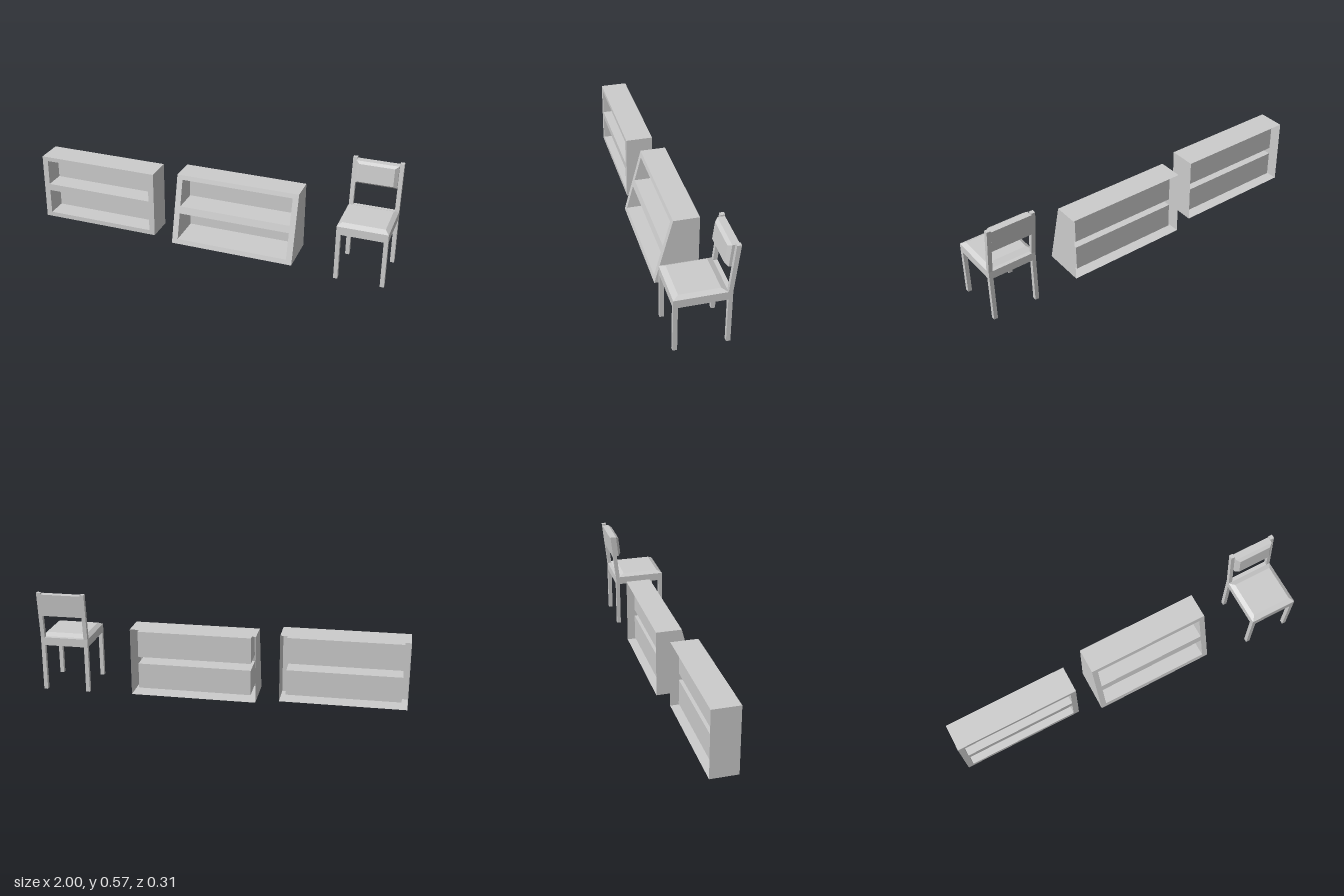
import * as THREE from 'three';
import { mergeGeometries } from 'three/addons/utils/BufferGeometryUtils.js';

const material = new THREE.MeshStandardMaterial({ color: 0xcccccc, flatShading: true, side: THREE.DoubleSide });

function add(group, name, geometry) {
  const mesh = new THREE.Mesh(geometry, material);
  mesh.name = name;
  group.add(mesh);
}

// Joins four-cornered rings into a faceted skin; each ring runs anticlockwise seen from the last ring's side.
function loft(rings, capStart, capEnd) {
  const index = [];
  const last = (rings.length - 1) * 4;
  for (let r = 0; r < last; r += 4) {
    for (let i = 0; i < 4; i++) {
      const a = r + i, b = r + (i + 1) % 4;
      index.push(a, b, b + 4, a, b + 4, a + 4);
    }
  }
  if (capStart) index.push(0, 2, 1, 0, 3, 2);
  if (capEnd) index.push(last, last + 1, last + 2, last, last + 2, last + 3);
  const g = new THREE.BufferGeometry();
  g.setAttribute('position', new THREE.Float32BufferAttribute(rings.flat(2), 3));
  g.setIndex(index);
  const flat = g.toNonIndexed();
  flat.computeVertexNormals();
  return flat;
}

// Side profile of [z, y] points, extruded across x.
function slab(points, x0, x1) {
  const shape = new THREE.Shape(points.map(([z, y]) => new THREE.Vector2(z, y)));
  const g = new THREE.ExtrudeGeometry(shape, { depth: x1 - x0, bevelEnabled: false });
  return g.rotateY(-Math.PI / 2).translate(x1, 0, 0);
}

function rectangle(PathType, x0, x1, y0, y1) {
  return new PathType([[x0, y0], [x1, y0], [x1, y1], [x0, y1]].map(([x, y]) => new THREE.Vector2(x, y)));
}

// Bookcase: thin shell open at the back, with two recessed compartments.
function bookcase(name, x0, x1, back, frontBottom, frontTop) {
  const group = new THREE.Group();
  group.name = name;
  const height = 0.376, margin = 0.032;
  const frontZ = y => frontBottom + (frontTop - frontBottom) * y / height;
  const ring = (l, r, b, t, z) => [[l, b, z(b)], [r, b, z(b)], [r, t, z(t)], [l, t, z(t)]];
  const backZ = () => back;
  const panelZ = () => back + 0.038;
  add(group, 'outerShell', loft([ring(x0, x1, 0, height, backZ), ring(x0, x1, 0, height, frontZ)], false, false));

  const face = rectangle(THREE.Shape, x0, x1, 0, height);
  const compartments = [];
  for (const [y0, y1] of [[0.026, 0.168], [0.207, 0.352]]) {
    const l = x0 + margin, r = x1 - margin;
    face.holes.push(rectangle(THREE.Path, l, r, y0, y1));
    compartments.push(loft([ring(l, r, y0, y1, frontZ), ring(l, r, y0, y1, panelZ)], false, true));
  }
  add(group, 'compartments', mergeGeometries(compartments));

  // Front frame leans with the case
  const frame = new THREE.ShapeGeometry(face);
  const p = frame.attributes.position;
  for (let i = 0; i < p.count; i++) p.setZ(i, frontZ(p.getY(i)));
  frame.computeVertexNormals();
  add(group, 'frontFrame', frame);
  return group;
}

function chair() {
  const group = new THREE.Group();
  group.name = 'chair';
  const x0 = 0.734, x1 = 1, leg = 0.022;
  add(group, 'seatBase', slab([[0.158, 0.26], [0.158, 0.305], [-0.129, 0.305], [-0.129, 0.26]], x0, x1));

  // Bevelled seat top
  const seatRing = (inset, front, back, y) =>
    [[x0 + inset, y, front], [x1 - inset, y, front], [x1 - inset, y, back], [x0 + inset, y, back]];
  add(group, 'seatTop', loft([seatRing(0, 0.158, -0.107, 0.305), seatRing(0.022, 0.13, -0.077, 0.32)], false, true));

  // Legs; the rear pair carries on up as leaning posts
  for (const [side, a] of [['right', x0], ['left', x1 - leg]]) {
    add(group, side + 'FrontLeg', slab([[0.158, 0], [0.158, 0.26], [0.135, 0.26], [0.135, 0]], a, a + leg));
    add(group, side + 'BackLegAndPost', slab(
      [[-0.107, 0], [-0.107, 0.305], [-0.134, 0.566], [-0.157, 0.566], [-0.129, 0.305], [-0.129, 0]], a, a + leg));
  }

  // Backrest between the posts, bevelled toward the sitter
  const restRing = (inset, y0, z0, y1, z1) => {
    const l = x0 + leg + inset, r = x1 - leg - inset;
    return [[l, y0, z0], [r, y0, z0], [r, y1, z1], [l, y1, z1]];
  };
  add(group, 'backrest', loft([
    restRing(0, 0.433, -0.143, 0.557, -0.156),
    restRing(0, 0.437, -0.107, 0.557, -0.119),
    restRing(0.018, 0.45, -0.091, 0.546, -0.102),
  ], true, true));
  return group;
}

export function createModel() {
  const model = new THREE.Group();
  model.name = 'bookcasesAndChair';
  model.add(bookcase('straightBookcase', -1, -0.315, -0.075, 0.075, 0.075));
  model.add(bookcase('slantedBookcase', -0.192, 0.496, -0.118, 0.118, 0.022));
  model.add(chair());
  return model;
}
